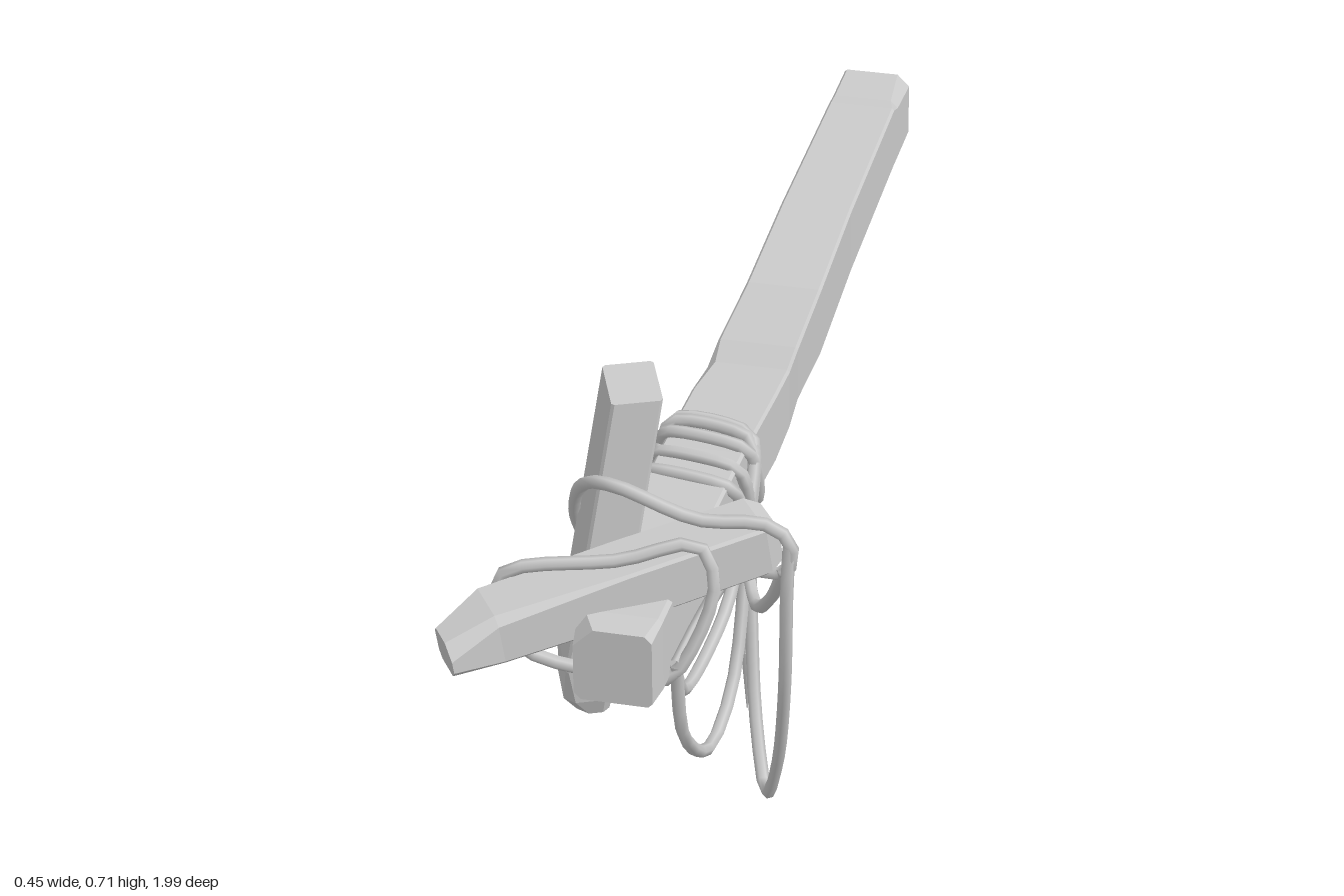
import * as THREE from 'three';

const V = (p) => new THREE.Vector3(...p);
const wood = new THREE.MeshStandardMaterial({ color: 0xcccccc, flatShading: true });
const cord = new THREE.MeshStandardMaterial({ color: 0xcccccc });

// Hewn timber: rectangular sections [x, y, z, width, height, chamfers] set across axes u and v.
function timber(name, u, v, sections) {
  const pos = [], idx = [];
  const signs = [[1, -1], [1, 1], [-1, 1], [-1, -1]];
  for (const [x, y, z, w, h, cuts = []] of sections) {
    signs.forEach(([su, sv], i) => {
      const c = cuts[i] ?? 0.004;
      const alongU = [su * (w / 2 - c), sv * h / 2];
      const alongV = [su * w / 2, sv * (h / 2 - c)];
      for (const [a, b] of i % 2 ? [alongV, alongU] : [alongU, alongV]) {
        const p = V([x, y, z]).addScaledVector(u, a).addScaledVector(v, b);
        pos.push(p.x, p.y, p.z);
      }
    });
  }
  const last = (sections.length - 1) * 8;
  for (let k = 0; k < last; k += 8) {
    for (let j = 0; j < 8; j++) {
      const a = k + j, b = k + (j + 1) % 8;
      idx.push(a, b, b + 8, a, b + 8, a + 8);
    }
  }
  for (let j = 1; j < 7; j++) {
    idx.push(0, j + 1, j, last, last + j, last + j + 1);
  }
  let geo = new THREE.BufferGeometry();
  geo.setAttribute('position', new THREE.Float32BufferAttribute(pos, 3));
  geo.setIndex(idx);
  geo = geo.toNonIndexed();
  geo.computeVertexNormals();
  const mesh = new THREE.Mesh(geo, wood);
  mesh.name = name;
  return mesh;
}

// Rope that bends through a few points
function rope(name, points, closed = false, radius = 0.0095) {
  const curve = new THREE.CatmullRomCurve3(points.map(V), closed, 'centripetal');
  const mesh = new THREE.Mesh(new THREE.TubeGeometry(curve, points.length * 3, radius, 6, closed), cord);
  mesh.name = name;
  return mesh;
}

export function createModel() {
  const group = new THREE.Group();
  group.name = 'lashedTimbers';

  // Long bent beam with a few chipped corners
  group.add(timber('longBeam', V([1, 0, 0]), V([0, 1, 0]), [
    [-0.015, 0.305, -1, 0.11, 0.11, [0.004, 0.02]],
    [-0.015, 0.307, -0.9, 0.11, 0.11, [0.004, 0.012]],
    [-0.015, 0.309, -0.87, 0.11, 0.112],
    [-0.013, 0.317, -0.5, 0.114, 0.114],
    [-0.005, 0.328, -0.22, 0.117, 0.116],
    [0.004, 0.355, 0, 0.122, 0.114, [0.025, 0.004]],
    [0.012, 0.375, 0.1, 0.124, 0.115, [0.018, 0.004, 0.012]],
    [0.013, 0.39, 0.2, 0.124, 0.112],
    [0.013, 0.415, 0.4, 0.12, 0.11],
    [0.012, 0.428, 0.65, 0.116, 0.115],
    [0.011, 0.438, 0.87, 0.116, 0.118, [0.006, 0.006, 0.01, 0.006]],
    [0.011, 0.44, 0.915, 0.108, 0.112, [0.006, 0.01, 0.028, 0.01]],
  ]));

  // Leaning stake with a roughly pointed foot
  group.add(timber('leaningStake', V([0.92, 0, -0.39]), V([-0.36, 0, -0.93]), [
    [-0.078, 0.228, 0.695, 0.045, 0.07, [0.01, 0.01, 0.01, 0.015]],
    [-0.085, 0.255, 0.698, 0.068, 0.09, [0.012, 0.008, 0.008, 0.015]],
    [-0.082, 0.31, 0.694, 0.073, 0.107],
    [-0.022, 0.724, 0.655, 0.07, 0.105],
  ]));

  // Slanting cross plank with a cut tip
  group.add(timber('crossPlank', V([0.56, 0, 0.83]), V([-0.12, 0.99, 0.08]), [
    [0.176, 0.537, 0.69, 0.076, 0.06, [0.01, 0.01, 0.01, 0.01]],
    [0.16, 0.535, 0.7, 0.088, 0.074],
    [0, 0.507, 0.807, 0.09, 0.076],
    [-0.155, 0.48, 0.91, 0.086, 0.074, [0.006, 0.012, 0.004, 0.006]],
    [-0.204, 0.466, 0.965, 0.066, 0.05, [0.012, 0.02, 0.008, 0.01]],
  ]));

  // Lashing round plank and beam
  group.add(rope('plankLashing', [
    [-0.155, 0.525, 0.85], [0, 0.552, 0.825], [0.1, 0.57, 0.795], [0.123, 0.51, 0.8],
    [0.08, 0.39, 0.83], [0.06, 0.372, 0.83], [-0.05, 0.373, 0.83],
    [-0.13, 0.4, 0.84], [-0.165, 0.465, 0.85],
  ], true));

  // Rope from the coils, round the stake and over the plank end
  group.add(rope('stakeRope', [
    [0.08, 0.37, 0.43], [0.06, 0.345, 0.52], [-0.04, 0.33, 0.585], [-0.1, 0.4, 0.58], [-0.11, 0.5, 0.64],
    [-0.07, 0.6, 0.72], [-0.02, 0.618, 0.75], [0.09, 0.585, 0.755], [0.18, 0.58, 0.74],
    [0.214, 0.555, 0.74], [0.207, 0.505, 0.735], [0.13, 0.485, 0.72], [0.1, 0.44, 0.75], [0.078, 0.4, 0.83],
  ]));

  // Sagging ropes
  const sags = [
    [[0.212, 0.55, 0.74], [0.209, 0.48, 0.74], [0.2, 0.3, 0.71], [0.175, 0.12, 0.64], [0.14, 0.0115, 0.56],
      [0.11, 0.09, 0.49], [0.092, 0.25, 0.44], [0.083, 0.42, 0.42]],
    [[0.205, 0.51, 0.74], [0.17, 0.41, 0.66], [0.13, 0.342, 0.58], [0.095, 0.36, 0.48], [0.08, 0.43, 0.41]],
    [[0.077, 0.4, 0.83], [0.074, 0.25, 0.78], [0.078, 0.13, 0.63], [0.085, 0.17, 0.52], [0.085, 0.39, 0.42]],
    [[0.076, 0.39, 0.83], [0.07, 0.31, 0.76], [0.072, 0.285, 0.64], [0.08, 0.31, 0.52], [0.082, 0.4, 0.43]],
  ];
  sags.forEach((points, i) => group.add(rope('saggingRope' + (i + 1), points)));

  // Tilted coils round the beam
  const coils = [[0.355, 0.025], [0.385, -0.035], [0.415, 0.02], [0.445, 0.04], [0.4, -0.06]];
  coils.forEach(([z, tilt], i) => {
    const outline = [[1, -0.8], [1, 0.8], [0.8, 1], [-0.8, 1], [-1, 0.8], [-1, -0.8], [-0.8, -1], [0.8, -1]];
    group.add(rope('coil' + (i + 1), outline.map(([a, b]) =>
      [0.013 + a * 0.067, 0.413 + b * 0.062, z + b * tilt + a * 0.012]), true));
  });

  // Loose tapered rope end
  const tail = new THREE.Mesh(new THREE.CylinderGeometry(0.0095, 0.0095, 0.26, 6), cord);
  tail.position.set(0.08, 0.28, 0.42);
  tail.name = 'looseEnd';
  const tip = new THREE.Mesh(new THREE.CylinderGeometry(0.0095, 0.001, 0.1, 6), cord);
  tip.position.set(0.082, 0.1, 0.42);
  tip.name = 'looseEndTip';
  group.add(tail, tip);

  return group;
}
